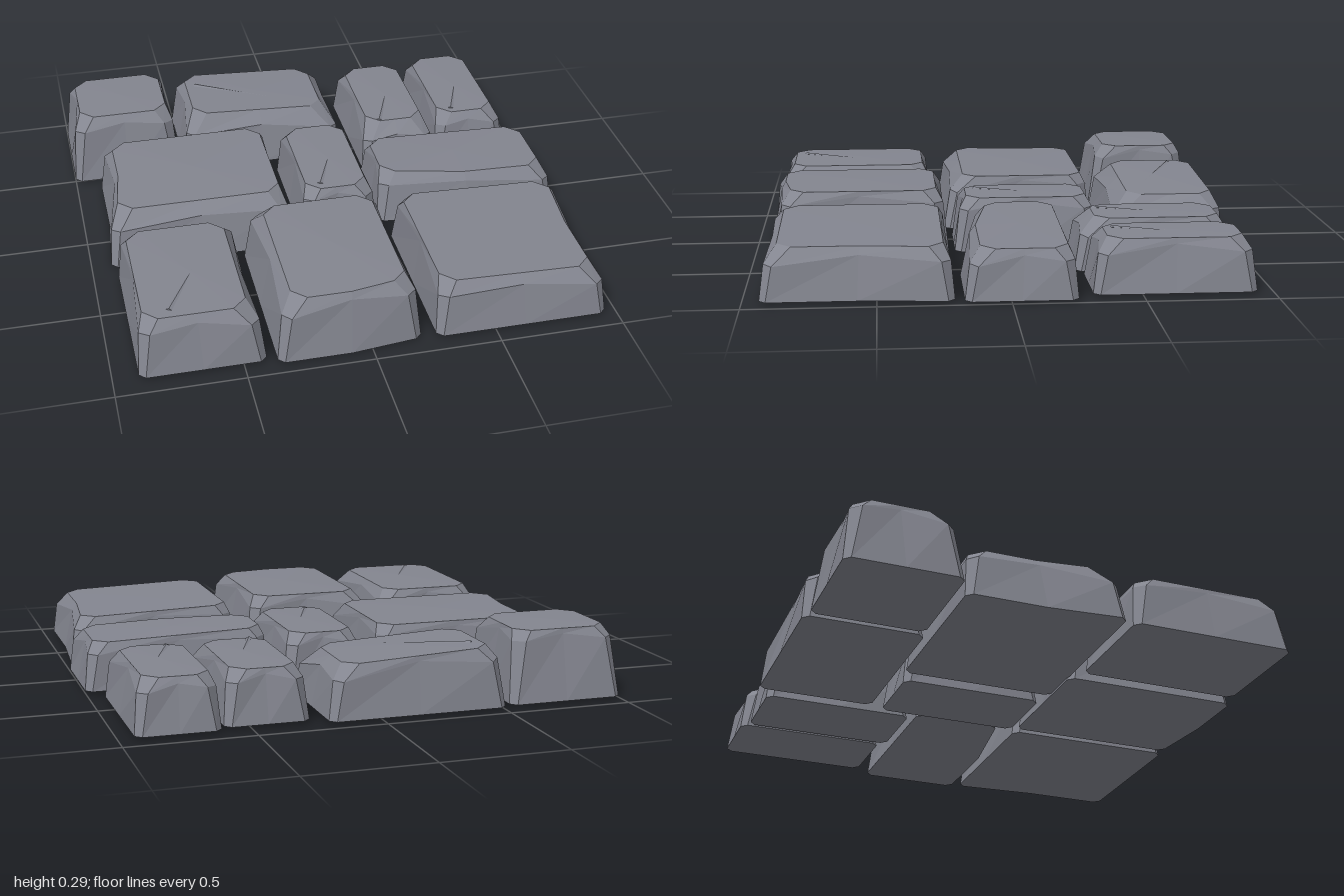
import * as THREE from 'three';

const stoneMat = new THREE.MeshStandardMaterial({ color: 0x83858f, flatShading: true });

// Rectangle with cut corners and side midpoints, clockwise from above
function outline(l, r, b, f, c) {
  const mx = (l + r) / 2, mz = (b + f) / 2;
  return [[l, b + c], [l + c, b], [mx, b], [r - c, b], [r, b + c], [r, mz],
    [r, f - c], [r - c, f], [mx, f], [l + c, f], [l, f - c], [l, mz]];
}

// Leaning wall that turns into a chamfer wherever the top is set far in
function shoulder([bx, by, bz], [tx, ty, tz]) {
  const inset = Math.hypot(tx - bx, tz - bz);
  const extra = Math.max(0, inset - 0.2 * ty);
  const y = Math.max(0.5 * ty, ty - 0.02 - 0.65 * extra);
  const t = Math.min((y - by) / (ty - by), 0.2 * y / inset);
  return [bx + (tx - bx) * t, y, bz + (tz - bz) * t];
}

// Three rings closed by a slightly crowned top and a flat underside
function stoneGeometry(rings) {
  const n = rings[0].length;
  const centre = ring => [0, 1, 2].map(k => ring.reduce((s, p) => s + p[k], 0) / n);
  const crown = centre(rings[2]);
  crown[1] += 0.004;
  const verts = [...rings.flat(), centre(rings[0]), crown];
  const index = [];
  for (let i = 0; i < n; i++) {
    const j = (i + 1) % n;
    for (const r of [0, n]) index.push(r + i, r + n + i, r + j, r + j, r + n + i, r + n + j);
    index.push(3 * n, i, j, 3 * n + 1, 2 * n + j, 2 * n + i);
  }
  const geo = new THREE.BufferGeometry();
  geo.setAttribute('position', new THREE.Float32BufferAttribute(verts.flat(), 3));
  geo.setIndex(index);
  const flat = geo.toNonIndexed();
  flat.computeVertexNormals();
  return flat;
}

// Thin tapering ridge along a split in the top face
function crackMesh(from, to) {
  const geo = new THREE.ConeGeometry(0.012, from.distanceTo(to), 4);
  geo.rotateX(Math.PI / 2);
  geo.scale(1, 0.4, 1);
  const mesh = new THREE.Mesh(geo, stoneMat);
  mesh.position.lerpVectors(from, to, 0.5);
  mesh.lookAt(to);
  mesh.name = 'crack';
  return mesh;
}

// x and z extents of the foot, top height, and how far the top is set in on the
// left-hand (-x), right-hand (+x), back and front sides. tilt: top slope along x.
// chip: shifts the edge near a spot. crack: which end the split opens at.
function stone(name, [x0, x1], [z0, z1], height, [il, ir, ib, inFront], { tilt = 0, base = 0.01, chip, crack } = {}) {
  const topY = x => height + tilt * (x - (x0 + x1) / 2);
  const chipped = ([x, z]) => chip && Math.hypot(x - chip.x, z - chip.z) < chip.r
    ? [x + (chip.dx ?? 0), z + (chip.dz ?? 0)] : [x, z];
  const foot = outline(x0, x1, z0, z1, 0.025).map(chipped).map(([x, z]) => [x, base, z]);
  const top = outline(x0 + il, x1 - ir, z0 + ib, z1 - inFront, 0.055).map(chipped).map(([x, z]) => [x, topY(x), z]);
  const mesh = new THREE.Mesh(stoneGeometry([foot, foot.map((p, i) => shoulder(p, top[i])), top]), stoneMat);
  mesh.name = name;
  if (crack) {
    const at = (u, v) => {
      const x = x0 + (x1 - x0) * u;
      return new THREE.Vector3(x, topY(x) + 0.002, z0 + (z1 - z0) * v);
    };
    mesh.add(crack === 'front' ? crackMesh(at(0.28, 0.85), at(0.64, 0.37)) : crackMesh(at(0.14, 0.28), at(0.64, 0.63)));
  }
  return mesh;
}

export function createModel() {
  const group = new THREE.Group();
  group.name = 'pavingStones';
  group.add(
    // Back row
    stone('backLeftStone', [-1, -0.53], [-0.94, -0.48], 0.29, [0.05, 0.04, 0.05, 0.075]),
    stone('backMiddleStone', [-0.505, 0.21], [-0.957, -0.47], 0.23, [0.06, 0.07, 0.04, 0.09], { tilt: -0.05, crack: 'back' }),
    stone('backRightInnerStone', [0.27, 0.6], [-0.905, -0.28], 0.215, [0.04, 0.04, 0.045, 0.085], { crack: 'front' }),
    stone('backRightOuterStone', [0.615, 0.94], [-0.935, -0.31], 0.215, [0.03, 0.045, 0.05, 0.06], { crack: 'front' }),
    // Middle row
    stone('middleLeftStone', [-0.92, -0.155], [-0.44, 0.205], 0.235, [0.055, 0.035, 0.04, 0.085],
      { chip: { x: -0.92, z: -0.25, r: 0.2, dx: 0.025 } }),
    stone('middleNarrowStone', [-0.105, 0.22], [-0.42, 0.175], 0.22, [0.03, 0.04, 0.045, 0.05], { base: 0, crack: 'front' }),
    stone('middleRightStone', [0.235, 1], [-0.25, 0.175], 0.21, [0.03, 0.045, 0.035, 0.06],
      { tilt: -0.03, chip: { x: 0.26, z: 0.15, r: 0.12, dz: -0.055 } }),
    // Front row
    stone('frontLeftStone', [-0.9, -0.41], [0.245, 0.93], 0.235, [0.035, 0.06, 0.045, 0.06], { crack: 'front' }),
    stone('frontMiddleStone', [-0.37, 0.205], [0.2, 0.945], 0.25, [0.07, 0.05, 0.05, 0.06],
      { base: 0, chip: { x: 0.2, z: 0.93, r: 0.15, dz: -0.03 } }),
    stone('frontRightStone', [0.26, 0.98], [0.21, 0.935], 0.215, [0.03, 0.055, 0.04, 0.065],
      { tilt: -0.03, chip: { x: 0.98, z: 0.85, r: 0.3, dx: -0.025 } })
  );
  return group;
}
